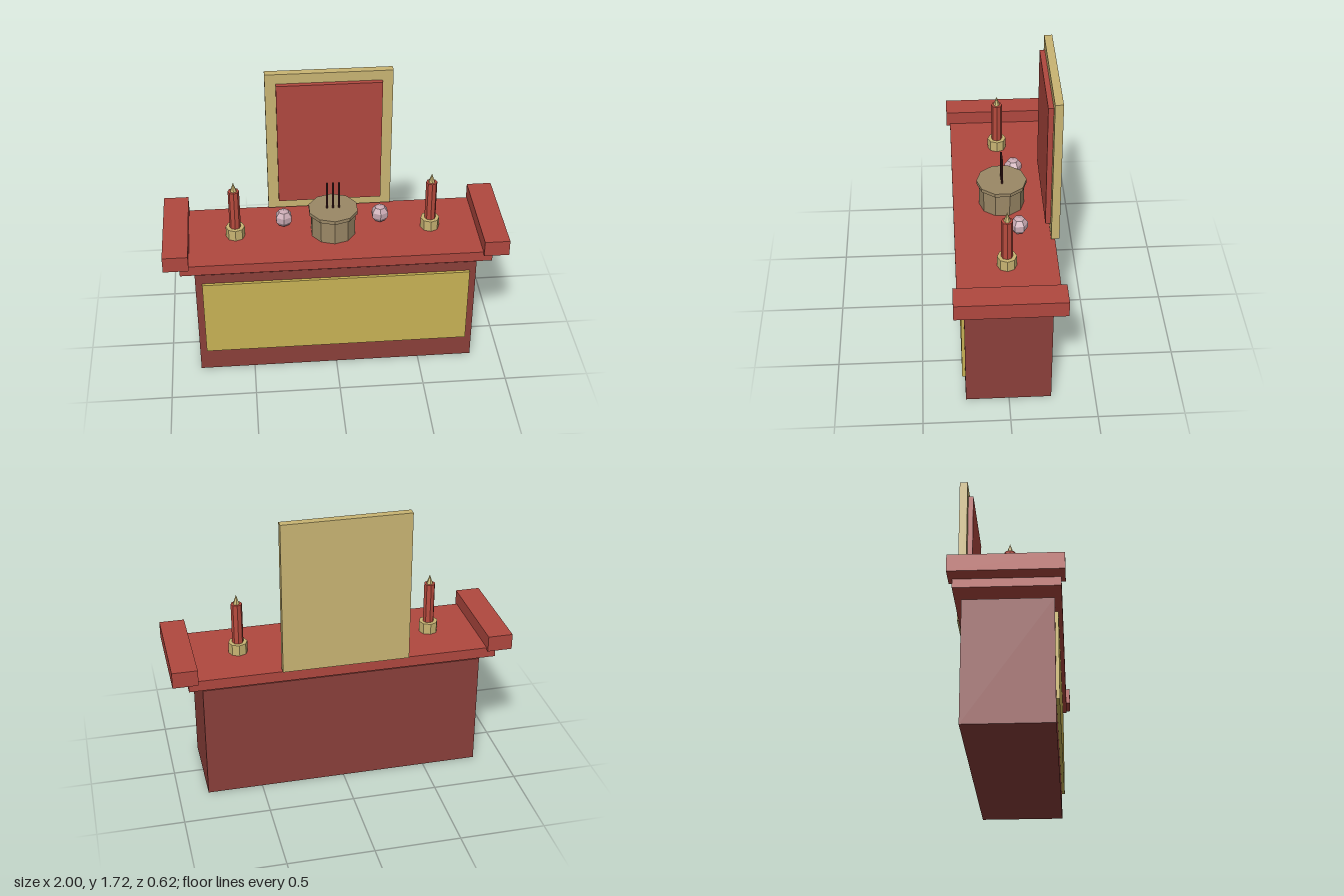
import * as THREE from 'three';

const material = (name, color) => new THREE.MeshStandardMaterial({ name, color, flatShading: true });

export function createModel() {
  const altar = new THREE.Group();
  altar.name = 'altarTable';

  const darkRed = material('dark red lacquer', 0x8b3f3a);
  const red = material('red lacquer', 0xb0483f);
  const gold = material('panel gold', 0xc8b255);
  const paleGold = material('pale gold', 0xc9b573);
  const bronze = material('bronze', 0x9b8866);
  const incense = material('incense brown', 0x4f2424);
  const wax = material('candle red', 0xb84b3e);
  const pink = material('pale pink', 0xc8a9b2);

  const add = (parent, name, geometry, mat, x = 0, y = 0, z = 0) => {
    const mesh = new THREE.Mesh(geometry, mat);
    mesh.name = name;
    mesh.position.set(x, y, z);
    parent.add(mesh);
    return mesh;
  };
  // Box from its lower and upper limits
  const box = (name, mat, [x0, x1], [y0, y1], [z0, z1]) =>
    add(altar, name, new THREE.BoxGeometry(x1 - x0, y1 - y0, z1 - z0), mat,
      (x0 + x1) / 2, (y0 + y1) / 2, (z0 + z1) / 2);
  // Upright faceted cylinder standing on y0
  const column = (parent, name, mat, rTop, rBottom, y0, y1, sides, x = 0, z = 0) =>
    add(parent, name, new THREE.CylinderGeometry(rTop, rBottom, y1 - y0, sides), mat, x, (y0 + y1) / 2, z);

  // Cabinet with raised front panel
  box('cabinet', darkRed, [-0.825, 0.825], [0, 0.705], [-0.245, 0.25]);
  box('frontPanel', gold, [-0.785, 0.785], [0.147, 0.643], [0.25, 0.268]);

  // Floating table top with raised ends
  box('tableTop', red, [-0.907, 0.907], [0.735, 0.798], [-0.288, 0.288]);
  box('leftEnd', red, [0.853, 1], [0.785, 0.881], [-0.31, 0.31]);
  box('rightEnd', red, [-1, -0.853], [0.785, 0.881], [-0.31, 0.31]);

  // Backboard and its tablet
  box('backboard', paleGold, [-0.371, 0.371], [0.807, 1.716], [-0.312, -0.265]);
  box('tablet', red, [-0.308, 0.308], [0.871, 1.655], [-0.265, -0.235]);

  // Incense burner and sticks
  const burner = new THREE.Group();
  burner.name = 'incenseBurner';
  altar.add(burner);
  column(burner, 'burnerBowl', bronze, 0.134, 0.134, 0.798, 0.943, 10);
  column(burner, 'burnerRim', bronze, 0.148, 0.148, 0.943, 0.965, 10);
  for (const x of [-0.035, 0, 0.035])
    column(burner, 'incenseStick', incense, 0.006, 0.006, 0.96, 1.137, 6, x);

  // Candles and round offerings on both sides
  for (const side of [1, -1]) {
    const candle = new THREE.Group();
    candle.name = side > 0 ? 'leftCandle' : 'rightCandle';
    candle.position.x = side * 0.578;
    altar.add(candle);
    column(candle, 'candleHolder', paleGold, 0.056, 0.056, 0.798, 0.865, 8);
    column(candle, 'candleStick', wax, 0.033, 0.033, 0.865, 1.113, 8);
    column(candle, 'candleFlame', paleGold, 0, 0.02, 1.113, 1.17, 6);

    const fruit = add(altar, side > 0 ? 'leftOffering' : 'rightOffering',
      new THREE.SphereGeometry(0.055, 6, 5), pink, side * 0.288, 0.853, -0.085);
    fruit.rotation.y = Math.PI / 6;
  }

  return altar;
}
